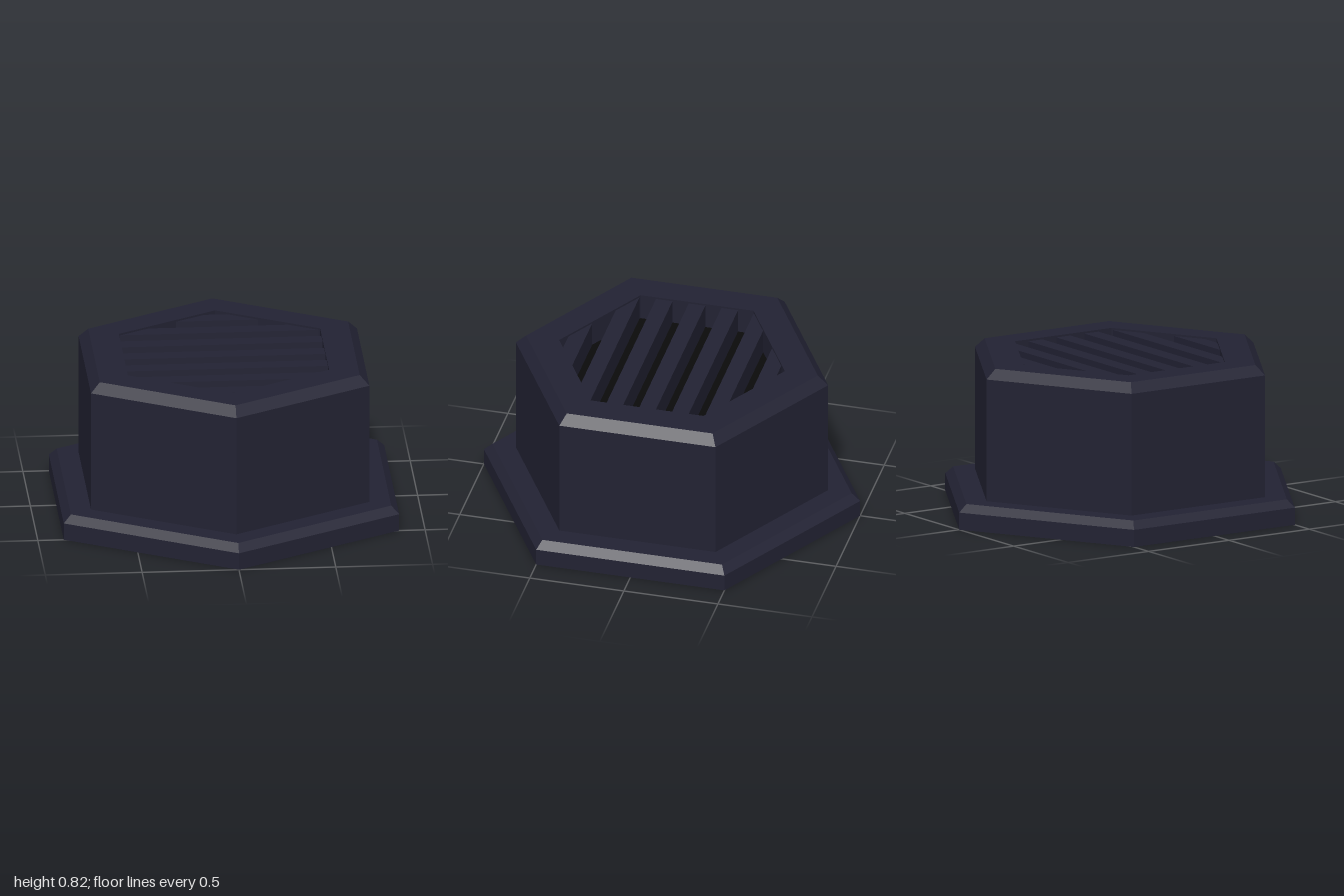
import * as THREE from 'three';

const navy = new THREE.MeshStandardMaterial({ color: 0x222233, side: THREE.DoubleSide });
navy.name = 'darkNavy';
const black = new THREE.MeshStandardMaterial({ color: 0x0a0a0a });
black.name = 'black';

const WELL = 0.6;        // corner radius of the grille opening
const WELL_FLOOR = 0.68; // bottom of the slots
const SLAT_TOP = 0.81;

function addMesh(group, name, geometry, material) {
  const flat = geometry.index ? geometry.toNonIndexed() : geometry;
  flat.computeVertexNormals(); // crisp facets
  const mesh = new THREE.Mesh(flat, material);
  mesh.name = name;
  group.add(mesh);
}

// Six-sided shell from [radius, height] pairs, corners on the z axis
function hexShell(points) {
  return new THREE.LatheGeometry(points.map(([r, y]) => new THREE.Vector2(r, y)), 6);
}

// Half width of the hexagonal opening at depth z
const halfWidth = (z) => Math.min(WELL * Math.sqrt(3) / 2, (WELL - Math.abs(z)) * Math.sqrt(3));

export function createModel() {
  const model = new THREE.Group();
  model.name = 'hexVent';

  // Flange, body, bevelled rim and well walls, open underneath
  addMesh(model, 'flange', hexShell([[1, 0], [1, 0.09], [0.955, 0.13], [0.83, 0.13]]), navy);
  addMesh(model, 'body', hexShell([[0.83, 0.13], [0.83, 0.77], [0.775, 0.82], [WELL, 0.82]]), navy);
  addMesh(model, 'wellWall', hexShell([[WELL, 0.82], [WELL, WELL_FLOOR]]), navy);

  // Dark core below the grille
  const core = new THREE.CylinderGeometry(WELL, WELL, WELL_FLOOR - 0.29, 6);
  core.translate(0, (WELL_FLOOR + 0.29) / 2, 0);
  addMesh(model, 'darkCore', core, black);

  // Parallel slats trimmed to the opening
  const slats = new THREE.Group();
  slats.name = 'grille';
  for (let i = -3; i <= 3; i++) {
    const a = i * 0.174 - 0.044;
    const b = i * 0.174 + 0.044;
    const wa = halfWidth(a);
    const wb = halfWidth(b);
    const shape = new THREE.Shape([
      new THREE.Vector2(-wa, -a), new THREE.Vector2(wa, -a),
      new THREE.Vector2(wb, -b), new THREE.Vector2(-wb, -b),
    ]);
    const slat = new THREE.ExtrudeGeometry(shape, { depth: SLAT_TOP - WELL_FLOOR, bevelEnabled: false });
    slat.rotateX(-Math.PI / 2);
    slat.translate(0, WELL_FLOOR, 0);
    addMesh(slats, 'slat', slat, navy);
  }
  model.add(slats);
  return model;
}
